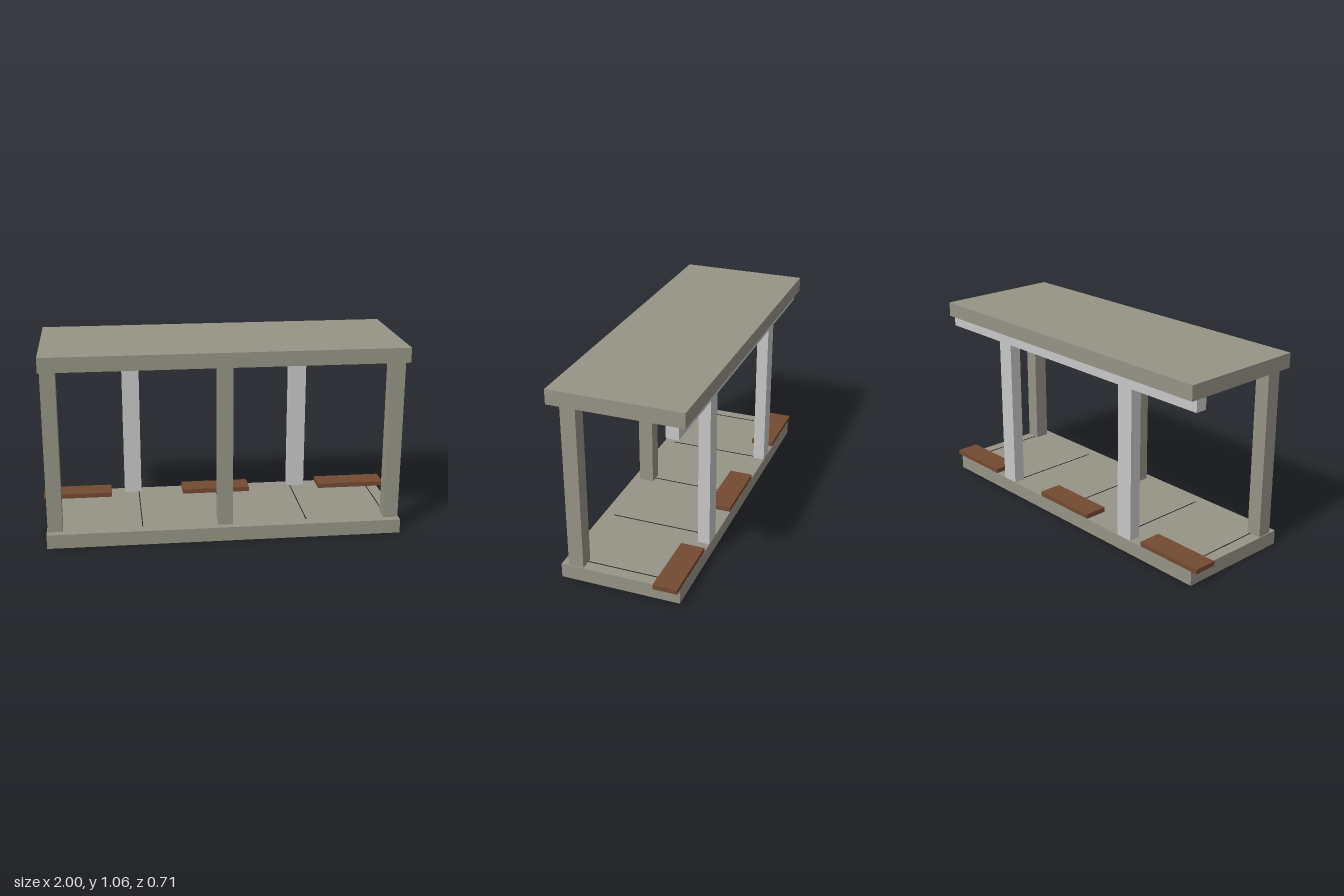
import * as THREE from 'three';

export function createModel() {
  const model = new THREE.Group();
  model.name = 'openShelter';

  const material = (name, color) => {
    const m = new THREE.MeshStandardMaterial({ color });
    m.name = name;
    return m;
  };
  const concrete = material('concrete', 0x969486);
  const steel = material('light grey steel', 0xc8c8c8);
  const wood = material('brown wood', 0x744a32);
  const seam = material('dark seam', 0x2a2a28);

  // Box given by its centre in x and its ranges in y and z
  const box = (name, mat, x, width, [y0, y1], [z0, z1]) => {
    const mesh = new THREE.Mesh(new THREE.BoxGeometry(width, y1 - y0, z1 - z0), mat);
    mesh.position.set(x, (y0 + y1) / 2, (z0 + z1) / 2);
    mesh.name = name;
    model.add(mesh);
  };

  const floorTop = 0.078, roofBase = 0.978, beamBase = 0.914;
  const rear = [-0.322, -0.258];

  // Floor and roof slabs
  box('floorSlab', concrete, 0, 1.93, [0, floorTop], [-0.323, 0.323]);
  box('roofSlab', concrete, 0, 1.93, [roofBase, 1.058], [-0.355, 0.355]);

  // Front columns
  for (const x of [-0.92, 0, 0.92])
    box('frontColumn', concrete, x, 0.08, [floorTop, roofBase], [0.202, 0.283]);

  // Rear posts and the beam they carry
  for (const x of [-0.484, 0.484])
    box('rearPost', steel, x, 0.097, [floorTop, beamBase], rear);
  box('rearBeam', steel, 0, 1.93, [beamBase, roofBase], rear);

  // Low benches along the rear edge
  for (const x of [-0.805, 0, 0.805])
    box('bench', wood, x, 0.39, [floorTop, 0.104], [-0.322, -0.193]);

  // Fine joints across the floor
  for (let i = -2; i <= 2; i++)
    box('floorSeam', seam, i * 0.45, 0.005, [floorTop, floorTop + 0.002], [-0.26, 0.26]);

  return model;
}
